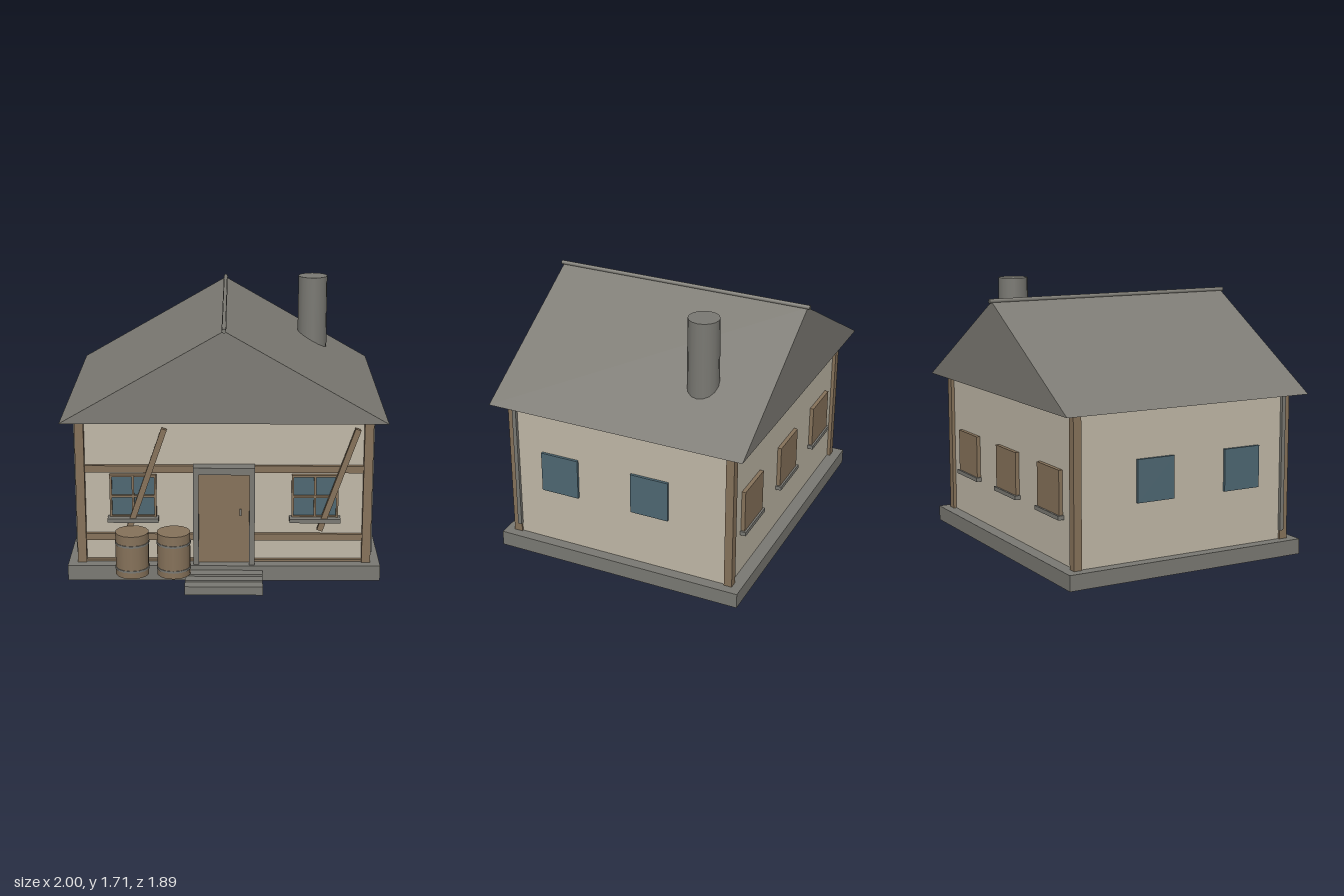
import * as THREE from 'three';

const paint = (name, color) => {
  const m = new THREE.MeshStandardMaterial({ color });
  m.name = name;
  return m;
};

export function createModel() {
  const house = new THREE.Group();
  house.name = 'house';
  const plaster = paint('plaster', 0xc0b8a7);
  const slate = paint('slate grey', 0x7d7b74);
  const stone = paint('stone grey', 0x7a7973);
  const wood = paint('timber brown', 0x86725a);
  const glass = paint('window blue', 0x4e6772);

  const add = (name, geo, mat, x = 0, y = 0, z = 0, parent = house) => {
    const mesh = new THREE.Mesh(geo, mat);
    mesh.name = name;
    mesh.position.set(x, y, z);
    parent.add(mesh);
    return mesh;
  };
  // box given by its limits on each axis
  const box = (name, mat, [x0, x1], [y0, y1], [z0, z1], parent = house) =>
    add(name, new THREE.BoxGeometry(x1 - x0, y1 - y0, z1 - z0), mat,
      (x0 + x1) / 2, (y0 + y1) / 2, (z0 + z1) / 2, parent);

  // base and walls
  box('plinth', stone, [-0.975, 0.975], [0.01, 0.108], [-0.906, 0.738]);
  box('walls', plaster, [-0.905, 0.905], [0.1, 1.045], [-0.825, 0.64]);

  // entrance steps
  [[0.055, 0.945], [0.065, 0.87], [0.078, 0.805]].forEach(([top, front], i) =>
    box('step' + (i + 1), stone, [-0.24, 0.24], [0, top], [0.73, front]));

  // solid gable roof with ridge roll
  const gable = new THREE.Shape();
  gable.moveTo(-1, 1.04);
  gable.lineTo(1, 1.04);
  gable.lineTo(0, 1.615);
  gable.closePath();
  add('roof', new THREE.ExtrudeGeometry(gable, { depth: 1.694, bevelEnabled: false }), slate, 0, 0, -0.93);
  const ridge = new THREE.CylinderGeometry(0.014, 0.014, 1.725, 8);
  ridge.rotateX(Math.PI / 2);
  add('ridge', ridge, slate, 0, 1.618, -0.083);

  // chimney
  add('chimney', new THREE.CylinderGeometry(0.097, 0.1, 0.65, 16), stone, 0.592, 1.383, -0.5);

  // corner posts and slim front corner strips
  for (const s of [-1, 1]) {
    const span = (a, b) => (s > 0 ? [a, b] : [-b, -a]);
    box('frontPost', wood, span(0.862, 0.917), [0.108, 1.04], [0.625, 0.68]);
    box('backPost', wood, span(0.862, 0.917), [0.108, 1.04], [-0.847, -0.795]);
    box('cornerStrip', stone, span(0.9, 0.926), [0.165, 1.025], [0.622, 0.648]);

    // side windows
    for (const [z0, z1] of [[0.2, 0.454], [-0.418, -0.165]])
      box('sideWindow', glass, span(0.9, 0.922), [0.467, 0.733], [z0, z1]);
  }

  // horizontal beams on the front, split by the doorway
  for (const [y0, y1] of [[0.108, 0.122], [0.25, 0.292], [0.695, 0.74]])
    for (const [x0, x1] of [[-0.865, -0.18], [0.18, 0.865]])
      box('frontBeam', wood, [x0, x1], [y0, y1], [0.635, 0.665]);
  box('topBeam', wood, [-0.865, 0.865], [1.02, 1.04], [0.635, 0.665]);

  // front windows: glass, frame, glazing bars and sill
  for (const cx of [-0.565, 0.565]) {
    const win = new THREE.Group();
    win.name = 'frontWindow';
    win.position.x = cx;
    house.add(win);
    box('pane', glass, [-0.135, 0.135], [0.405, 0.675], [0.63, 0.652], win);
    for (const x of [-0.138, 0, 0.138])
      box('uprightBar', wood, [x - 0.007, x + 0.007], [0.4, 0.68], [0.635, 0.667], win);
    for (const y of [0.408, 0.54, 0.673])
      box('crossBar', wood, [-0.145, 0.145], [y - 0.007, y + 0.007], [0.635, 0.666], win);
    box('sill', stone, [-0.158, 0.158], [0.38, 0.406], [0.635, 0.705], win);
  }

  // shuttered back windows
  for (const cx of [-0.59, 0, 0.59]) {
    box('shutter', wood, [cx - 0.145, cx + 0.145], [0.4, 0.68], [-0.85, -0.82]);
    box('shutterSill', stone, [cx - 0.158, cx + 0.158], [0.38, 0.406], [-0.862, -0.82]);
  }

  // door with stone surround and handle
  for (const s of [-1, 1])
    box('doorJamb', stone, [s * 0.174 - 0.017, s * 0.174 + 0.017], [0.108, 0.745], [0.635, 0.723]);
  box('doorLintel', stone, [-0.158, 0.158], [0.7, 0.745], [0.635, 0.723]);
  box('door', wood, [-0.158, 0.158], [0.108, 0.7], [0.635, 0.68]);
  box('doorHandle', stone, [0.095, 0.11], [0.422, 0.465], [0.678, 0.695]);

  // leaning poles
  for (const cx of [-0.48, 0.708]) {
    const pole = add('leaningPole', new THREE.BoxGeometry(0.036, 0.695, 0.03), wood, cx, 0.655, 0.68);
    pole.rotation.z = -Math.atan2(0.23, 0.665);
  }

  // barrels with two hoops each
  for (const cx of [-0.567, -0.31]) {
    const barrel = new THREE.Group();
    barrel.name = 'barrel';
    barrel.position.set(cx, 0, 0.785);
    house.add(barrel);
    add('barrelBody', new THREE.CylinderGeometry(0.104, 0.104, 0.275, 14), wood, 0, 0.217, 0, barrel);
    for (const y of [0.125, 0.288])
      add('hoop', new THREE.CylinderGeometry(0.108, 0.108, 0.013, 14), stone, 0, y, 0, barrel);
  }
  return house;
}
